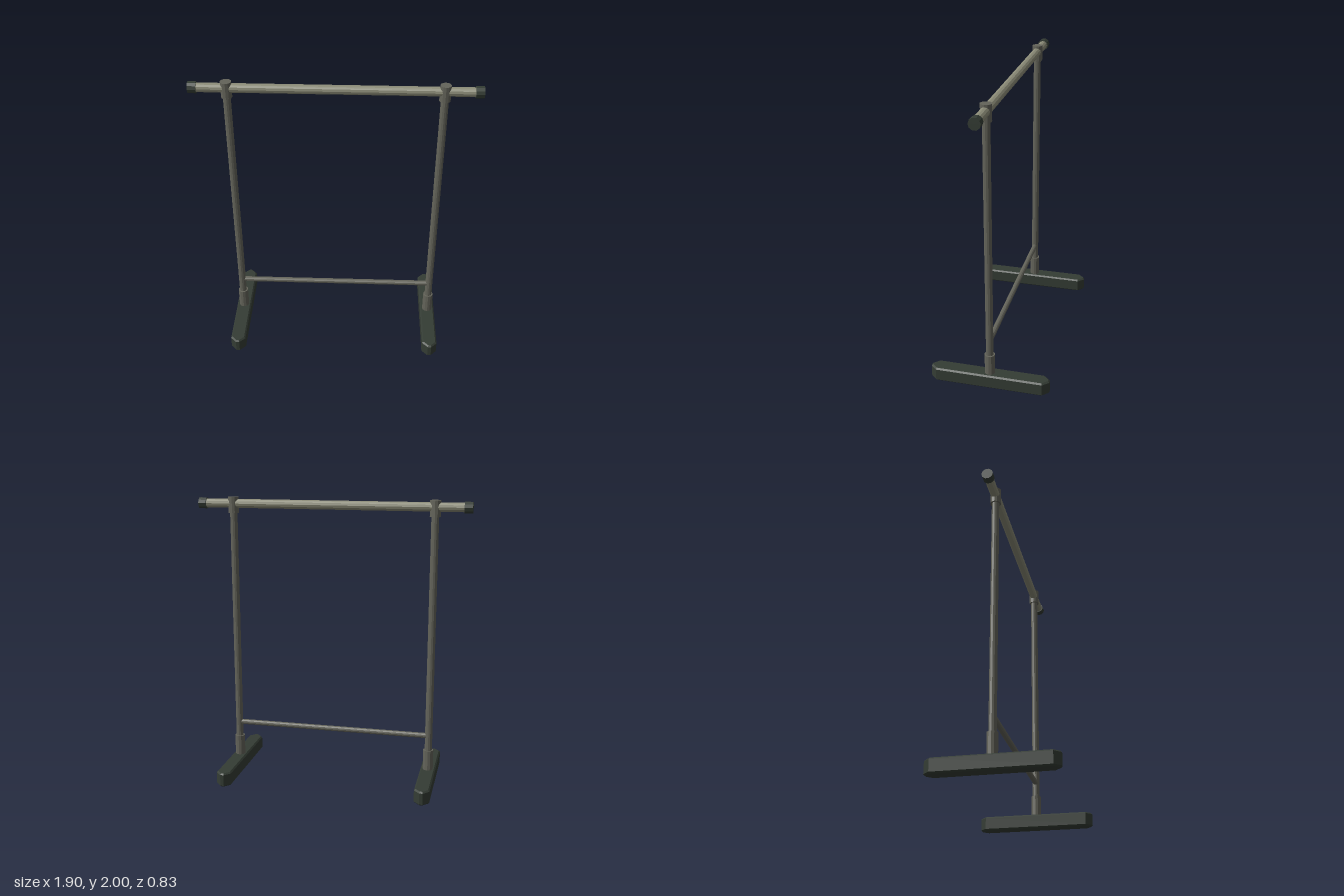
import * as THREE from 'three';

const paint = (name, color) => {
  const m = new THREE.MeshStandardMaterial({ color, flatShading: true });
  m.name = name;
  return m;
};

export function createModel() {
  const group = new THREE.Group();
  const barMetal = paint('polished metal', 0x8c8c78);
  const postMetal = paint('aged metal', 0x64645a);
  const rubber = paint('dark rubber', 0x343c34);

  const add = (name, geometry, material, x, y, z = 0) => {
    const mesh = new THREE.Mesh(geometry, material);
    mesh.name = name;
    mesh.position.set(x, y, z);
    group.add(mesh);
    return mesh;
  };
  const upright = (name, r, y0, y1, material, x, sides = 12) =>
    add(name, new THREE.CylinderGeometry(r, r, y1 - y0, sides), material, x, (y0 + y1) / 2);
  const level = (name, r, x0, x1, y, material, sides = 12) =>
    add(name, new THREE.CylinderGeometry(r, r, x1 - x0, sides).rotateZ(Math.PI / 2), material, (x0 + x1) / 2, y);

  // Horizontal tubes
  level('hangingBar', 0.031, -0.92, 0.92, 1.955, barMetal);
  level('lowerRail', 0.019, -0.7, 0.7, 0.35, postMetal);

  // Foot outline from above, pointed at both ends; the bevel adds 0.01 all round
  const outline = new THREE.Shape([
    [-0.043, -0.366], [-0.008, -0.403], [0.008, -0.403], [0.043, -0.366],
    [0.043, 0.366], [0.008, 0.403], [-0.008, 0.403], [-0.043, 0.366],
  ].map(([x, z]) => new THREE.Vector2(x, z)));
  const foot = new THREE.ExtrudeGeometry(outline, {
    depth: 0.08, bevelEnabled: true, bevelSize: 0.01, bevelThickness: 0.01, bevelSegments: 1,
  }).rotateX(-Math.PI / 2);

  // Each side: foot, sockets, post and bar cap
  for (const [side, s] of [['right', -1], ['left', 1]]) {
    const x = s * 0.703;
    add(side + 'Foot', foot, rubber, x, 0.01);
    upright(side + 'FootSocket', 0.036, 0.09, 0.245, postMetal, x);
    upright(side + 'Post', 0.026, 0.2, 1.93, postMetal, x);
    upright(side + 'BarSocket', 0.037, 1.89, 2, postMetal, x);
    level(side + 'EndCap', 0.039, s * 0.9225 - 0.0275, s * 0.9225 + 0.0275, 1.955, rubber, 10);
  }
  return group;
}
